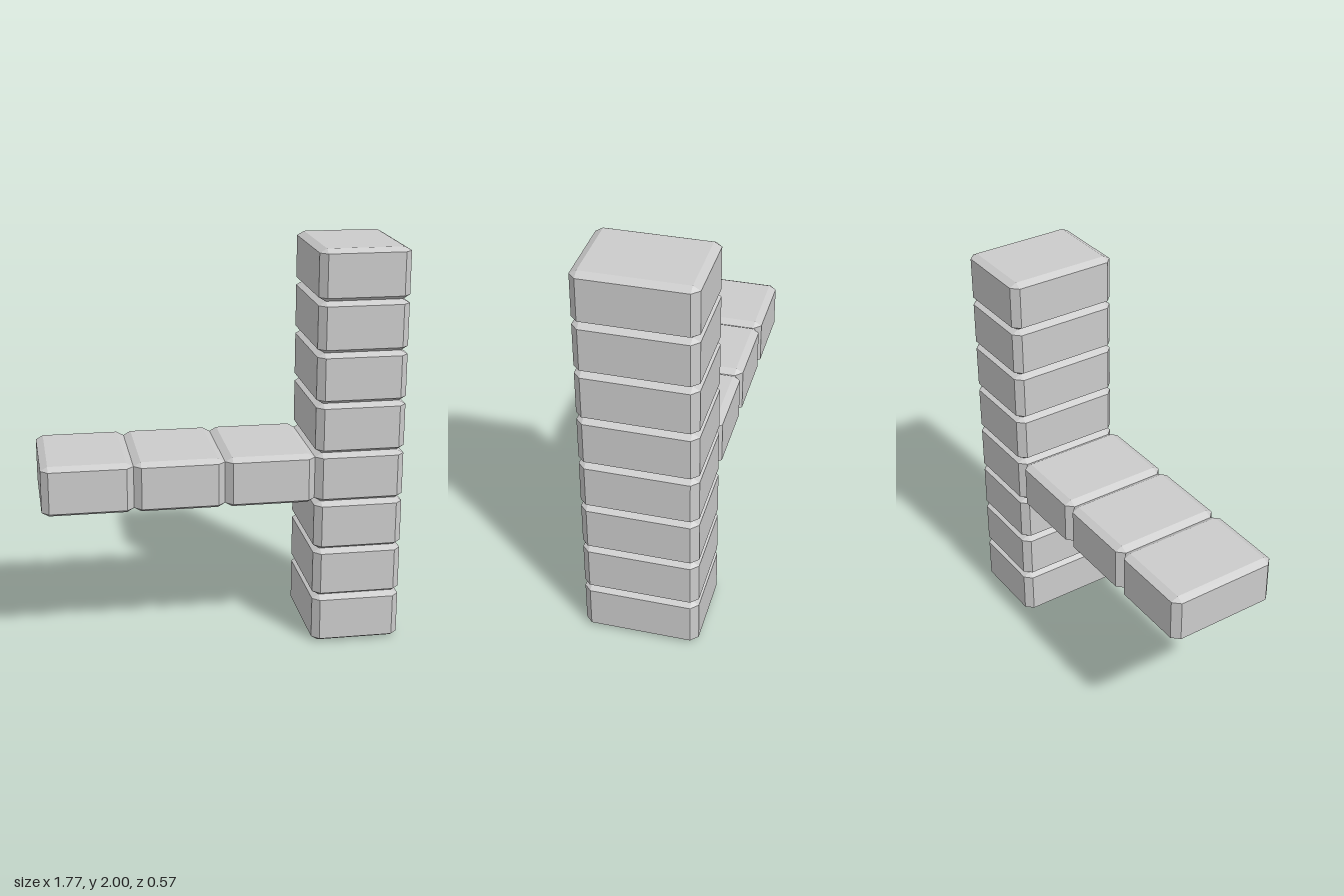
import * as THREE from 'three';
import { ConvexGeometry } from 'three/addons/geometries/ConvexGeometry.js';

const W = 0.4435, H = 0.25, D = 0.566; // block size

// Box with chamfered edges and corners: each face is inset by the bevel
function chamferedBlock() {
  const [x, y, z] = [W / 2, H / 2, D / 2];
  const [bx, by, bz] = [0.035, 0.02, 0.035];
  const points = [];
  for (const sx of [-1, 1]) for (const sy of [-1, 1]) for (const sz of [-1, 1]) {
    points.push(
      new THREE.Vector3(sx * x, sy * (y - by), sz * (z - bz)),
      new THREE.Vector3(sx * (x - bx), sy * y, sz * (z - bz)),
      new THREE.Vector3(sx * (x - bx), sy * (y - by), sz * z),
    );
  }
  return new ConvexGeometry(points);
}

export function createModel() {
  const model = new THREE.Group();
  const material = new THREE.MeshStandardMaterial({ color: 0xcccccc, flatShading: true });
  const geometry = chamferedBlock();

  const addBlock = (parent, name, column, row) => {
    const block = new THREE.Mesh(geometry, material);
    block.name = name;
    block.position.set((column - 1.5) * W, (row + 0.5) * H, 0);
    parent.add(block);
  };

  // Upright stack of eight blocks
  const column = new THREE.Group();
  column.name = 'column';
  for (let row = 0; row < 8; row++) addBlock(column, `columnBlock${row + 1}`, 3, row);

  // Three blocks reaching sideways from the fourth row
  const arm = new THREE.Group();
  arm.name = 'sideArm';
  for (let i = 0; i < 3; i++) addBlock(arm, `armBlock${i + 1}`, i, 3);

  model.add(column, arm);
  return model;
}
